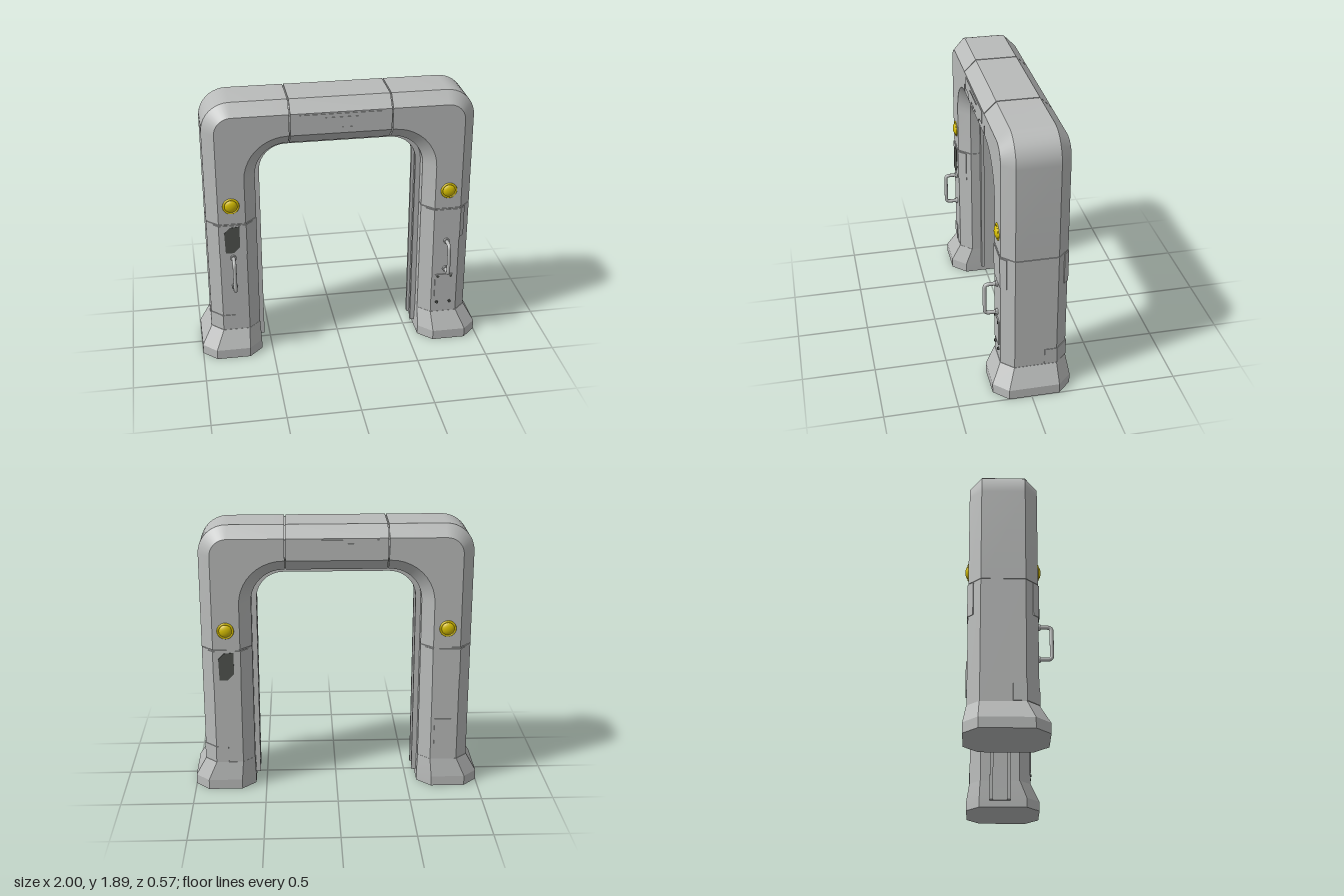
import * as THREE from 'three';
import { toCreasedNormals } from 'three/addons/utils/BufferGeometryUtils.js';

const HZ = 0.223, CH = 0.08, ZC = -0.04; // body half depth, chamfer, body centre in z
const R_OUT = 0.195, R_IN = 0.22;        // outer and inner corner radii

// Skin a list of closed rings (arrays of Vector3) and cap both ends
function loft(rings, crease = 0.3) {
  const pos = [], n = rings[0].length;
  const tri = (...v) => v.forEach(p => pos.push(p.x, p.y, p.z));
  for (let j = 0; j < rings.length - 1; j++) {
    for (let k = 0; k < n; k++) {
      const a = rings[j][k], b = rings[j][(k + 1) % n];
      const c = rings[j + 1][(k + 1) % n], d = rings[j + 1][k];
      tri(a, d, b);
      tri(b, d, c);
    }
  }
  const first = rings[0], last = rings[rings.length - 1];
  for (let k = 1; k < n - 1; k++) {
    tri(first[0], first[k], first[k + 1]);
    tri(last[0], last[k + 1], last[k]);
  }
  const g = new THREE.BufferGeometry();
  g.setAttribute('position', new THREE.Float32BufferAttribute(pos, 3));
  return toCreasedNormals(g, crease);
}

// Stations along the arch: outer centre, inner centre, outward angle
const legAt = y => [0.73, y, 0.36, y, 0];
const beamAt = x => [x, 1.695, x, 1.36, Math.PI / 2];
const corner = () => Array.from({ length: 11 }, (_, i) => [0.73, 1.695, 0.36, 1.36, i / 10 * Math.PI / 2]);
const outerPt = (s, r, z) => new THREE.Vector3(s[0] + r * Math.cos(s[4]), s[1] + r * Math.sin(s[4]), z);
const innerPt = (s, r, z) => new THREE.Vector3(s[2] + r * Math.cos(s[4]), s[3] + r * Math.sin(s[4]), z);

// Eight-sided body section
function bodyRing(s, inset = 0) {
  const h = HZ - inset, o = R_OUT - inset, i = R_IN + inset;
  return [
    outerPt(s, o, -h + CH), outerPt(s, o, h - CH), outerPt(s, o - CH, h), innerPt(s, i + CH, h),
    innerPt(s, i, h - CH), innerPt(s, i, -h + CH), innerPt(s, i + CH, -h), outerPt(s, o - CH, -h)
  ];
}

// Rectangular rail section standing off the inner face
const railRing = (s, depth, z0, z1) => [
  innerPt(s, R_IN + 0.01, z0), innerPt(s, R_IN + 0.01, z1),
  innerPt(s, R_IN - depth, z1), innerPt(s, R_IN - depth, z0)
];

// Horizontal octagon for the feet
function footRing(y, xo, xi, zc, h, c) {
  return [[xo, -h + c], [xo, h - c], [xo - c, h], [xi + c, h], [xi, h - c], [xi, -h + c], [xi + c, -h], [xo - c, -h]]
    .map(([x, z]) => new THREE.Vector3(x, y, z + zc));
}

// Thin plate folded around the leg, following plan points [x, z]
function wrapPlate(pts, y0, y1) {
  const skin = k => pts.map(([x, z]) => new THREE.Vector2(0.755 + (x - 0.755) * k, -z * k));
  const shape = new THREE.Shape([...skin(0.99), ...skin(1.022).reverse()]);
  const g = new THREE.ExtrudeGeometry(shape, { depth: y1 - y0, bevelEnabled: false });
  return g.rotateX(-Math.PI / 2).translate(0, y0, 0);
}

// Flat plate from an outline, facing +z
function flatPlate(pts, t) {
  const shape = new THREE.Shape(pts.map(p => new THREE.Vector2(...p)));
  return new THREE.ExtrudeGeometry(shape, { depth: t, bevelEnabled: false });
}

export function createModel() {
  const mat = (name, color) => {
    const m = new THREE.MeshStandardMaterial({ color });
    m.name = name;
    return m;
  };
  const grey = mat('light grey', 0xb9bbba);
  const dark = mat('dark grey', 0x50534f);
  const yellow = mat('yellow', 0xd8c000);

  const model = new THREE.Group();
  model.name = 'archwayGate';
  const body = new THREE.Group();
  body.name = 'body';
  body.position.z = ZC;
  model.add(body);

  const add = (parent, name, geo, m = grey) => {
    const mesh = new THREE.Mesh(geo, m);
    mesh.name = name;
    parent.add(mesh);
    return mesh;
  };

  // Domed lamp in a ring
  function lamp(parent, z, turn) {
    const g = new THREE.Group();
    g.name = 'warningLamp';
    g.position.set(0.755, 1.175, z);
    g.rotation.y = turn;
    const dome = new THREE.SphereGeometry(0.045, 28, 8, 0, Math.PI * 2, 0, Math.PI / 2);
    add(g, 'lampDome', dome.rotateX(Math.PI / 2).scale(1, 1, 0.5), yellow);
    add(g, 'lampRing', new THREE.TorusGeometry(0.05, 0.008, 8, 32), yellow);
    parent.add(g);
  }

  // One half of the arch; the other is the same half turned about the vertical
  for (const s of [1, -1]) {
    const side = new THREE.Group();
    side.name = s > 0 ? 'leftHalf' : 'rightHalf';
    if (s < 0) side.rotation.y = Math.PI;
    body.add(side);

    add(side, 'lowerLeg', loft([legAt(0.19), legAt(1.038)].map(p => bodyRing(p))));
    add(side, 'upperLegAndCorner', loft([legAt(1.042), ...corner(), beamAt(0.349)].map(p => bodyRing(p))));
    add(side, 'seamCore', loft([legAt(1.02), legAt(1.06)].map(p => bodyRing(p, 0.005))));
    add(side, 'beamSeamCore', loft([beamAt(0.37), beamAt(0.32)].map(p => bodyRing(p, 0.012))));

    // Flared foot
    const zf = 0.022 * s;
    add(side, 'foot', loft([
      footRing(0, 1, 0.575, zf, 0.267, 0.095),
      footRing(0.07, 1, 0.575, zf, 0.267, 0.095),
      footRing(0.2, 0.927, 0.58, 0, HZ + 0.002, CH)
    ], 0.1));

    // Guide rails along the inner face
    const path = [legAt(0.05), ...corner(), beamAt(0)];
    for (const [depth, z0, z1] of [[0.035, 0.05, 0.075], [0.035, -0.075, -0.05], [0.015, -0.05, 0.05]]) {
      add(side, 'guideRail', loft(path.map(p => railRing(p, depth, z0, z1))));
    }

    lamp(side, HZ, 0);
    lamp(side, -HZ, Math.PI);

    // Folded access panels, front and back
    const panel = [[0.61, 0.173], [0.66, HZ], [0.845, HZ], [0.88, 0.188]];
    add(side, 'accessPanel', wrapPlate(panel, 0.805, 1.03));
    add(side, 'windowPanel', wrapPlate(panel.map(([x, z]) => [x, -z]), 0.805, 1.03));
    add(side, 'cornerPanel', wrapPlate([[0.76, -HZ], [0.845, -HZ], [0.925, -0.143], [0.925, -0.06]], 0.205, 0.32));

    // Dark window on the back panel
    const pane = flatPlate([[0.055, 0.06], [0.015, 0.1], [-0.05, 0.105], [-0.05, -0.05], [-0.005, -0.095], [0.05, -0.095]]
      .map(([x, y]) => [-x, y]), 0.008);
    const win = add(side, 'darkWindow', pane, dark);
    win.position.set(0.755, 0.915, -HZ);
    win.rotation.y = Math.PI;

    // Small service cover
    add(side, 'serviceCover', new THREE.BoxGeometry(0.13, 0.19, 0.016)).position.set(0.748, 0.415, HZ);

    // Centre beam plate with slot and marks
    const plate = [[-0.28, 1.8], [-0.28, 1.71], [-0.2, 1.71], [-0.16, 1.67], [0.16, 1.67], [0.2, 1.71], [0.28, 1.71], [0.28, 1.8]];
    add(side, 'beamPlate', flatPlate(plate, 0.005)).position.z = HZ;
    add(side, 'beamSlot', new THREE.BoxGeometry(0.22, 0.012, 0.004)).position.set(0, 1.77, HZ + 0.006);
    for (const x of [-0.06, 0, 0.06]) {
      add(side, 'beamMark', new THREE.BoxGeometry(0.025, 0.008, 0.004)).position.set(x, 1.7, HZ + 0.006);
    }
  }

  add(body, 'centreBeam', loft([beamAt(0.341), beamAt(-0.341)].map(p => bodyRing(p))));

  // Grab handles on the front of both legs
  for (const x of [-0.755, 0.755]) {
    const v = (y, z) => new THREE.Vector3(x, y, z);
    const path = new THREE.CurvePath();
    const bars = [[0.555, 0.21], [0.555, 0.28], [0.58, 0.31], [0.755, 0.31], [0.78, 0.28], [0.78, 0.21]];
    path.add(new THREE.LineCurve3(v(...bars[0]), v(...bars[1])));
    path.add(new THREE.QuadraticBezierCurve3(v(...bars[1]), v(0.555, 0.31), v(...bars[2])));
    path.add(new THREE.LineCurve3(v(...bars[2]), v(...bars[3])));
    path.add(new THREE.QuadraticBezierCurve3(v(...bars[3]), v(0.78, 0.31), v(...bars[4])));
    path.add(new THREE.LineCurve3(v(...bars[4]), v(...bars[5])));
    add(body, 'grabHandle', new THREE.TubeGeometry(path, 60, 0.013, 12));
    for (const y of [0.555, 0.78]) {
      const base = new THREE.CylinderGeometry(0.021, 0.021, 0.02, 16).rotateX(Math.PI / 2);
      add(body, 'handleBase', base).position.set(x, y, HZ + 0.005);
    }
  }

  // Cover screws
  for (const x of [0.703, 0.797]) {
    for (const y of [0.495, 0.28]) {
      const screw = new THREE.CylinderGeometry(0.01, 0.01, 0.024, 12).rotateX(Math.PI / 2);
      add(body, 'screw', screw, dark).position.set(x, y, HZ);
    }
  }
  return model;
}
